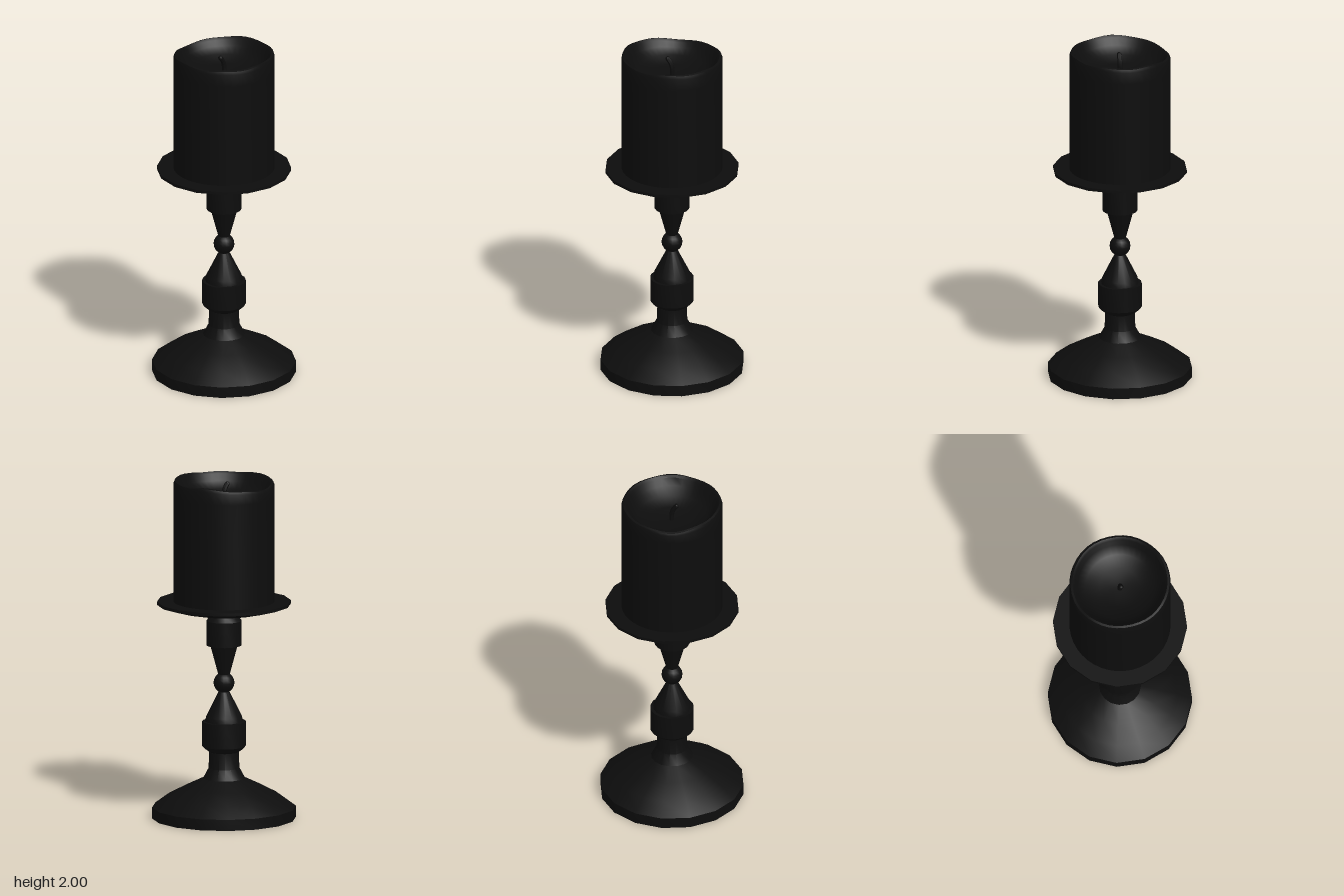
import * as THREE from 'three';
import { toCreasedNormals } from 'three/addons/utils/BufferGeometryUtils.js';

const PHI = THREE.MathUtils.degToRad(5.5); // turn of the 16-sided holder

export function createModel() {
  const group = new THREE.Group();
  const iron = new THREE.MeshStandardMaterial({ color: 0x0d0d0d });
  const wax = new THREE.MeshStandardMaterial({ color: 0x0d0d0d });

  const add = (name, geometry, material) => {
    const mesh = new THREE.Mesh(toCreasedNormals(geometry, 0.55), material);
    mesh.name = name;
    group.add(mesh);
  };
  // profile: [radius, height] from bottom to top
  const lathe = (profile, sides, phi) =>
    new THREE.LatheGeometry(profile.map(([r, y]) => new THREE.Vector2(r, y)), sides, phi);
  const turned = (name, profile) => add(name, lathe(profile, 16, PHI), iron);

  // Turned holder
  turned('foot', [[0, 0], [0.419, 0], [0.419, 0.065], [0.335, 0.127], [0.225, 0.185],
    [0.122, 0.235], [0.09, 0.295], [0.086, 0.39], [0, 0.39]]);
  turned('lowerCollar', [[0, 0.39], [0.085, 0.39], [0.107, 0.405], [0.127, 0.425],
    [0.127, 0.57], [0, 0.57]]);
  turned('lowerCone', [[0.11, 0.57], [0.104, 0.6], [0.032, 0.745], [0, 0.745]]);
  turned('upperCone', [[0, 0.845], [0.033, 0.845], [0.08, 1.02], [0, 1.02]]);
  turned('upperCollar', [[0, 1.02], [0.103, 1.02], [0.103, 1.165], [0.075, 1.2], [0, 1.2]]);
  turned('dripPlate', [[0, 1.2], [0.08, 1.2], [0.17, 1.208], [0.28, 1.231], [0.39, 1.262],
    [0.39, 1.28], [0, 1.28]]);

  const ball = new THREE.SphereGeometry(0.061, 16, 10);
  ball.translate(0, 0.798, 0);
  add('ball', ball, iron);

  // Candle with a melted hollow and an uneven rim that sags at the back
  const candle = lathe([[0, 1.27], [0.294, 1.27], [0.294, 1.9], [0.294, 1.975], [0.288, 1.993],
    [0.276, 1.997], [0.262, 1.985], [0.245, 1.945], [0.2, 1.905], [0.12, 1.88], [0, 1.872]], 40, 0);
  const pos = candle.attributes.position;
  for (let i = 0; i < pos.count; i++) {
    const x = pos.getX(i), y = pos.getY(i), z = pos.getZ(i);
    const a = Math.atan2(x, z);
    const lift = THREE.MathUtils.clamp((y - 1.9) / 0.09, 0, 1);
    const sag = 0.026 * Math.pow((1 - Math.cos(a)) / 2, 4);
    const ripple = 0.004 * Math.sin(3 * a + 0.6) + 0.003 * Math.sin(7 * a);
    pos.setY(i, Math.min(2, y + lift * (ripple - sag)));
  }
  add('candle', candle, wax);

  // Wick leaning towards -x
  const wickPath = new THREE.CatmullRomCurve3([
    new THREE.Vector3(0, 1.86, 0), new THREE.Vector3(0.002, 1.905, 0),
    new THREE.Vector3(-0.008, 1.945, 0), new THREE.Vector3(-0.026, 1.97, 0)]);
  add('wick', new THREE.TubeGeometry(wickPath, 8, 0.014, 8), iron);
  const tip = new THREE.SphereGeometry(0.014, 8, 6);
  tip.translate(-0.026, 1.97, 0);
  add('wickTip', tip, iron);

  return group;
}
